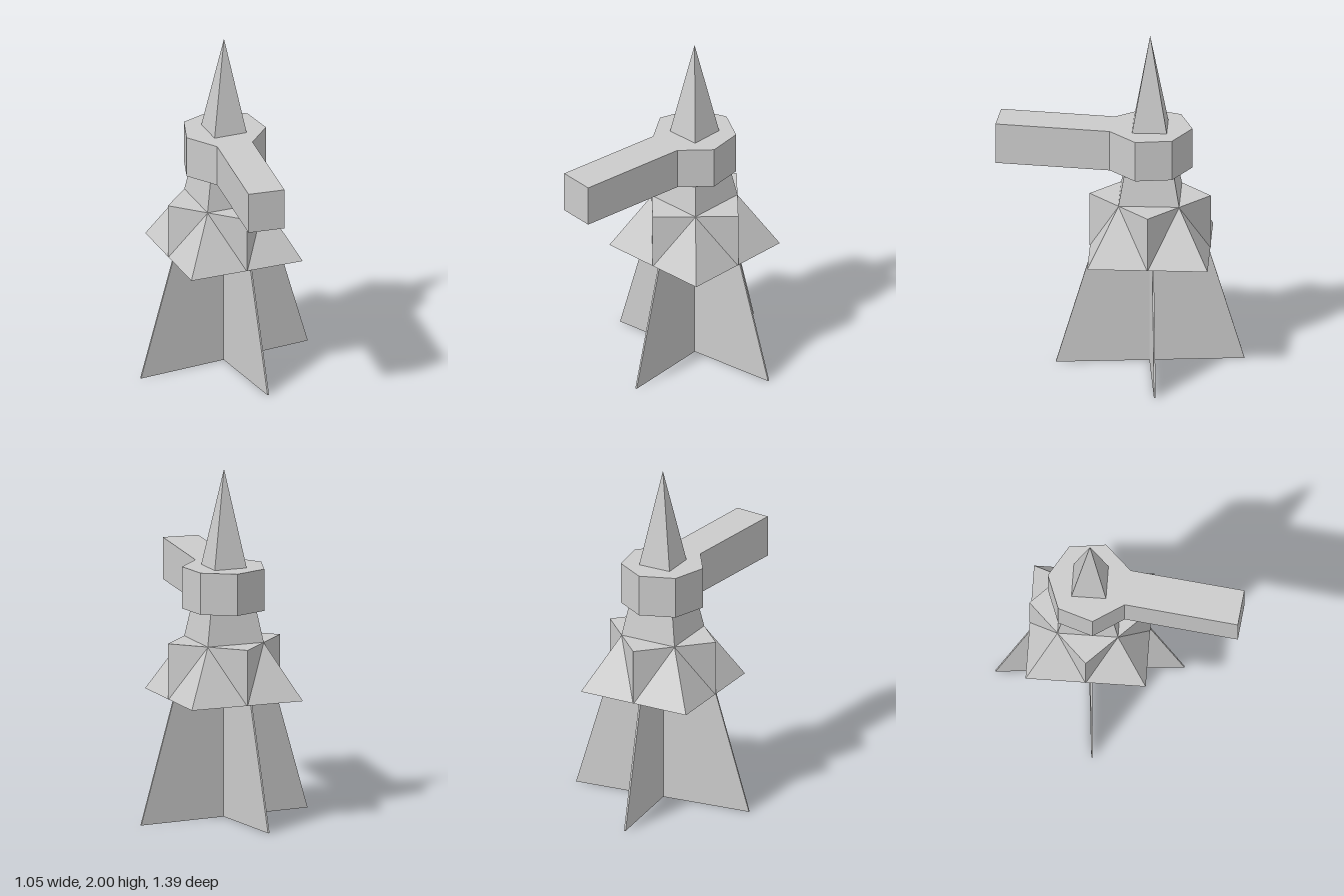
import * as THREE from 'three';

const CENTRE_Z = -0.172;
const TWIST = 0.093; // turn of the square tower sections

export function createModel() {
  const model = new THREE.Group();
  const material = new THREE.MeshStandardMaterial({ color: 0xcccccc, flatShading: true });

  function add(name, geometry, y = 0, turn = 0) {
    const mesh = new THREE.Mesh(geometry, material);
    mesh.name = name;
    mesh.position.set(0, y, CENTRE_Z);
    mesh.rotation.y = turn;
    model.add(mesh);
  }

  // Four-sided section from y0 to y1, tapering from radius r0 to r1
  function squareSection(name, r0, r1, y0, y1, turn) {
    add(name, new THREE.CylinderGeometry(r1, r0, y1 - y0, 4), (y0 + y1) / 2, turn);
  }

  // Two crossed thin fins that carry the tower
  const finShape = new THREE.Shape([
    new THREE.Vector2(-0.532, 0), new THREE.Vector2(0.532, 0),
    new THREE.Vector2(0.322, 0.71), new THREE.Vector2(-0.322, 0.71),
  ]);
  const finGeometry = new THREE.ExtrudeGeometry(finShape, { depth: 0.01, bevelEnabled: false });
  finGeometry.translate(0, 0, -0.005);
  for (let i = 0; i < 2; i++) add('crossedFin', finGeometry, 0, 0.189 + i * Math.PI / 2);

  // Sloping skirt with a diagonal square block pushed through it
  squareSection('skirt', 0.48, 0.24, 0.7, 1.02, Math.PI / 4 + TWIST);
  squareSection('diagonalBlock', 0.342, 0.342, 0.701, 1.02, TWIST);

  // Spire
  squareSection('spire', 0.242, 0, 1.02, 2, Math.PI / 4 + TWIST);

  // Seven-sided collar whose front side is drawn out into a long arm
  const outline = [];
  for (let i = 0; i < 7; i++) {
    const a = Math.PI / 2 + (i - 3) * Math.PI * 2 / 7;
    outline.push(new THREE.Vector2(-0.003 + 0.24 * Math.cos(a), 0.24 * Math.sin(a)));
  }
  outline.push(new THREE.Vector2(-0.122, 0.865 * -1), new THREE.Vector2(0.088, -0.868));
  const collar = new THREE.ExtrudeGeometry(new THREE.Shape(outline), { depth: 0.24, bevelEnabled: false });
  collar.rotateX(-Math.PI / 2);
  add('collarWithArm', collar, 1.2);

  return model;
}
